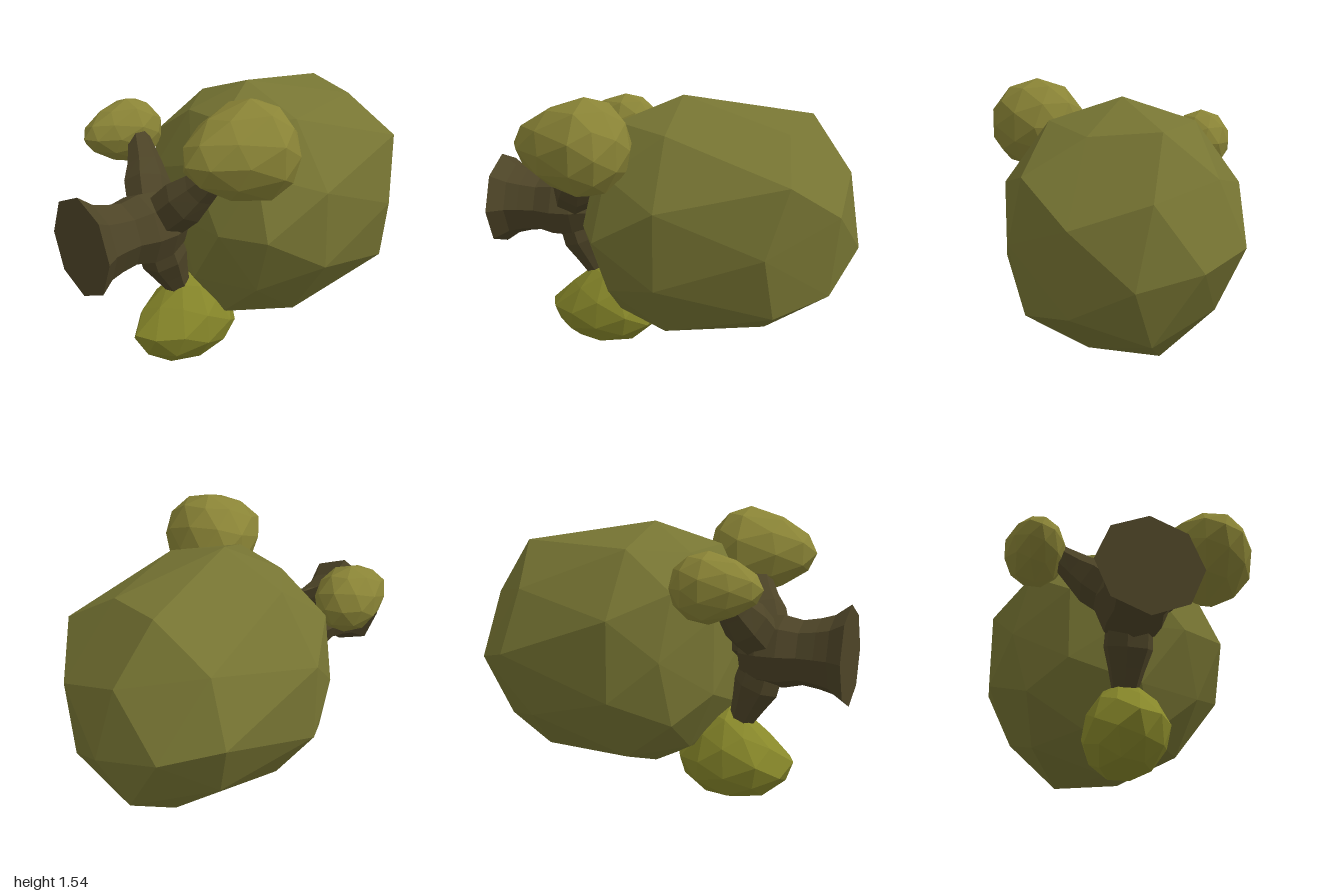
import * as THREE from 'three';

const paint = (color) => new THREE.MeshStandardMaterial({ color, flatShading: true });
const bark = paint(0x4d4427);
const AXIS = new THREE.Vector3(-0.05, 0.815, 0); // trunk axis, runs along z

// Icosphere with a pole on +z, each vertex moved by a rule
function foliage(name, color, center, shape) {
  const geo = new THREE.IcosahedronGeometry(1, 1);
  geo.rotateX(Math.atan(2 / (1 + Math.sqrt(5))));
  geo.rotateZ(Math.PI / 10);
  const pos = geo.attributes.position;
  const v = new THREE.Vector3();
  for (let i = 0; i < pos.count; i++) {
    shape(v.fromBufferAttribute(pos, i));
    pos.setXYZ(i, v.x, v.y, v.z);
  }
  geo.computeVertexNormals();
  const mesh = new THREE.Mesh(geo, paint(color));
  mesh.name = name;
  mesh.position.set(...center);
  return mesh;
}

// Tapered limb along a curve
function limb(name, points, radii, sides = 7) {
  const curve = new THREE.CatmullRomCurve3(points);
  const steps = 5;
  const geo = new THREE.TubeGeometry(curve, steps, 1, sides);
  const pos = geo.attributes.position;
  const v = new THREE.Vector3();
  for (let i = 0; i < pos.count; i++) {
    const t = Math.floor(i / (sides + 1)) / steps;
    const k = Math.min(Math.floor(t * (radii.length - 1)), radii.length - 2);
    const r = THREE.MathUtils.lerp(radii[k], radii[k + 1], t * (radii.length - 1) - k);
    const c = curve.getPointAt(t);
    v.fromBufferAttribute(pos, i).sub(c).multiplyScalar(r).add(c);
    pos.setXYZ(i, v.x, v.y, v.z);
  }
  geo.computeVertexNormals();
  const mesh = new THREE.Mesh(geo, bark);
  mesh.name = name;
  return mesh;
}

// Depth of the crown at each ring of icosphere vertices, equator to pole
const RING_LIMITS = [0.1, 0.48, 0.6, 0.9, 2];
const BACK_DEPTH = [0, 0.61, 0.54, 0.85, 0.95];
const FRONT_DEPTH = [0, 0.3, 0.27, 0.44, 0.46];

export function createModel() {
  const tree = new THREE.Group();
  tree.name = 'fallenTree';

  // Main crown: flattened towards the trunk, long and slightly drooping behind
  tree.add(foliage('mainCrown', 0x777533, [-0.055, 0.815, -0.05], (v) => {
    const s = Math.abs(v.z);
    const ring = RING_LIMITS.findIndex((limit) => s < limit);
    const { x, y } = v;
    if (v.z < -0.1) {
      v.x = x * 0.655 - 0.055 * s ** 4;
      v.y = y * 0.655 * (y < 0 ? 1 + 0.2 * s ** 4 : 1) - 0.13 * s ** 4;
      v.z = -BACK_DEPTH[ring] - 0.06 * y;
    } else {
      const inset = ring > 0 ? 0.625 : 0.655;
      v.x = x * inset;
      v.y = y * inset;
      v.z = ring > 0 ? FRONT_DEPTH[ring] + 0.04 * x : 0;
    }
  }));

  // Upper clusters: rounded behind, tapering to a point in front
  const upper = (name, center, rx, ry, front, back) =>
    tree.add(foliage(name, 0x8a8436, center, (v) => {
      const taper = 1 - 0.25 * Math.max(v.z, 0);
      v.x *= rx * taper;
      v.y *= ry * taper;
      v.z *= v.z > 0 ? front : back;
    }));
  upper('leftCluster', [0.42, 1.285, 0.33], 0.265, 0.253, 0.38, 0.23);
  upper('rightCluster', [-0.51, 1.18, 0.41], 0.165, 0.175, 0.27, 0.2);

  // Lower cluster: dome below, peaked on top
  tree.add(foliage('lowerCluster', 0x88882a, [-0.04, 0.23, 0.4], (v) => {
    const up = Math.max(v.y, 0);
    v.x *= 0.215 * (1 - 0.2 * up);
    v.z = v.z * 0.32 * (1 - 0.55 * up) - 0.03 * up;
    v.y *= v.y > 0 ? 0.27 : 0.228;
  }));

  // Eight-sided trunk, flared at its cut end
  const profile = [[0, 0.45], [0.13, 0.45], [0.18, 0.55], [0.19, 0.66], [0.168, 0.76],
    [0.183, 0.85], [0.203, 0.92], [0.26, 1], [0, 1]].map(([r, z]) => new THREE.Vector2(r, z));
  const trunkGeo = new THREE.LatheGeometry(profile, 8);
  trunkGeo.rotateX(Math.PI / 2);
  const trunk = new THREE.Mesh(trunkGeo, bark);
  trunk.name = 'trunk';
  trunk.position.copy(AXIS);
  tree.add(trunk);

  // Branches fan out from the trunk into the clusters: name, angle, reach
  for (const [name, degrees, reach] of [
    ['leftBranch', 45, 0.58], ['rightBranch', 134, 0.56], ['lowerBranch', 270, 0.46]]) {
    const a = THREE.MathUtils.degToRad(degrees);
    const at = (r, z) => new THREE.Vector3(Math.cos(a) * r, Math.sin(a) * r, z).add(AXIS);
    tree.add(limb(name, [at(0, 0.56), at(0.13, 0.54), at(0.28, 0.48), at(reach, 0.4)],
      [0.1, 0.135, 0.085, 0.045]));
  }

  // Short stub joining the trunk to the crown
  tree.add(limb('centreStub', [0.5, 0.42, 0.34].map((z) => new THREE.Vector3(0, 0.04, z).add(AXIS)),
    [0.1, 0.08, 0.07], 6));
  return tree;
}
